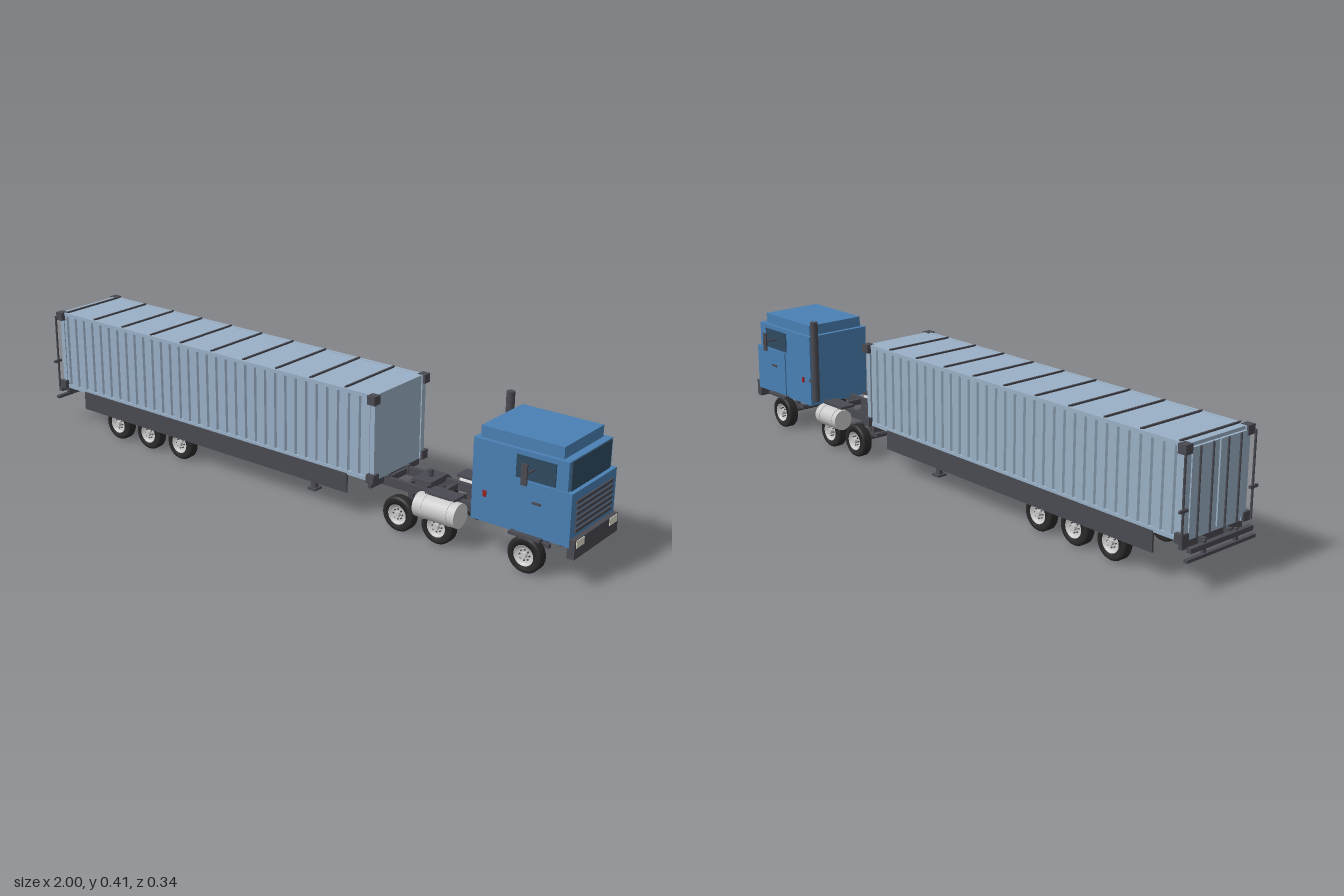
import * as THREE from 'three';

const mat = (color, extra = {}) => new THREE.MeshStandardMaterial({ color, ...extra });
const M = {
  dark: mat(0x4a4a52), tyre: mat(0x2a2a2a), metal: mat(0xcccccc), cab: mat(0x4a80b4),
  cargo: mat(0x9ab0c6), glass: mat(0x2f4a60), lamp: mat(0xe2decd), red: mat(0xa02020),
};

export function createModel() {
  const root = new THREE.Group();
  const group = (name, parent = root) => {
    const g = new THREE.Group();
    g.name = name;
    parent.add(g);
    return g;
  };
  const add = (parent, name, geo, material) => {
    const m = new THREE.Mesh(geo, material);
    m.name = name;
    parent.add(m);
    return m;
  };
  // Box given by its limits on each axis
  const box = (parent, name, material, x0, x1, y0, y1, z0, z1) => {
    const m = add(parent, name, new THREE.BoxGeometry(x1 - x0, y1 - y0, Math.abs(z1 - z0)), material);
    m.position.set((x0 + x1) / 2, (y0 + y1) / 2, (z0 + z1) / 2);
    return m;
  };
  // Cylinder along a chosen axis
  const rod = (parent, name, material, r, len, axis, x, y, z, sides = 16) => {
    const m = add(parent, name, new THREE.CylinderGeometry(r, r, len, sides), material);
    if (axis === 'x') m.rotation.z = Math.PI / 2;
    if (axis === 'z') m.rotation.x = Math.PI / 2;
    m.position.set(x, y, z);
    return m;
  };
  const SIDES = [1, -1];

  // Container: corrugated walls in one extruded outline
  const container = group('container');
  const X0 = -0.968, X1 = 0.344, ribs = 33, pitch = (X1 - X0) / ribs;
  const edge = [];
  for (let i = 0; i < ribs; i++) {
    const x = X0 + i * pitch;
    edge.push([x, 0.122], [x + pitch * 0.6, 0.122], [x + pitch * 0.7, 0.116], [x + pitch * 0.9, 0.116]);
  }
  edge.push([X1, 0.122]);
  const outline = new THREE.Shape();
  edge.forEach(([x, z], i) => (i ? outline.lineTo(x, -z) : outline.moveTo(x, -z)));
  [...edge].reverse().forEach(([x, z]) => outline.lineTo(x, z));
  const walls = new THREE.ExtrudeGeometry(outline, { depth: 0.264, bevelEnabled: false });
  walls.rotateX(-Math.PI / 2);
  add(container, 'containerWalls', walls, M.cargo).position.y = 0.132;
  for (const s of SIDES) {
    box(container, 'topSideRail', M.cargo, -0.97, 0.347, 0.386, 0.397, s * 0.114, s * 0.125);
    box(container, 'bottomSideRail', M.cargo, -0.97, 0.347, 0.131, 0.143, s * 0.114, s * 0.125);
    for (const [x0, x1] of [[-0.972, -0.955], [0.332, 0.348]])
      box(container, 'cornerPost', M.cargo, x0, x1, 0.132, 0.397, s * 0.108, s * 0.125);
    for (const x of [-0.978, 0.328])
      for (const y of [0.13, 0.371])
        box(container, 'cornerCasting', M.dark, x, x + 0.027, y, y + 0.027, s * 0.11, s * 0.137);
  }
  for (let i = 0; i < 11; i++) {
    const x = -0.942 + i * 0.131;
    if (x < 0.34) box(container, 'roofRib', M.dark, x - 0.003, x + 0.003, 0.394, 0.401, -0.12, 0.12);
  }
  // Rear doors with lock rods
  for (const s of SIDES) {
    box(container, 'rearDoor', M.cargo, -0.976, -0.966, 0.145, 0.386, s * 0.003, s * 0.108);
    for (const z of [0.03, 0.08])
      rod(container, 'doorLockRod', M.dark, 0.003, 0.25, 'y', -0.979, 0.262, s * z, 8);
    rod(container, 'outerLockRod', M.dark, 0.0035, 0.25, 'y', -0.979, 0.258, s * 0.139, 8);
    box(container, 'lockHandle', M.dark, -0.985, -0.977, 0.221, 0.229, s * 0.125, s * 0.155);
  }

  // Trailer chassis
  const trailer = group('trailer');
  for (const s of SIDES) {
    box(trailer, 'trailerRail', M.dark, -0.985, 0.35, 0.1, 0.13, s * 0.044, s * 0.058);
    box(trailer, 'sideSkirt', M.dark, -0.87, 0.25, 0.073, 0.135, s * 0.12, s * 0.126);
    box(trailer, 'landingLeg', M.dark, 0.066, 0.084, 0.022, 0.1, s * 0.05, s * 0.064);
    box(trailer, 'landingFoot', M.dark, 0.06, 0.09, 0.015, 0.022, s * 0.04, s * 0.074);
    box(trailer, 'underrunPost', M.dark, -0.995, -0.985, 0.09, 0.13, s * 0.06, s * 0.07);
    box(trailer, 'tailLamp', M.red, -0.998, -0.99, 0.112, 0.122, s * 0.1, s * 0.12);
  }
  for (let i = 0; i < 11; i++) {
    const x = -0.96 + i * 0.129;
    box(trailer, 'trailerCrossMember', M.dark, x - 0.006, x + 0.006, 0.108, 0.13, -0.121, 0.121);
  }
  box(trailer, 'landingBrace', M.dark, 0.07, 0.08, 0.082, 0.09, -0.06, 0.06);
  box(trailer, 'rearBeam', M.dark, -1, -0.985, 0.11, 0.124, -0.125, 0.125);
  box(trailer, 'underrunBar', M.dark, -1, -0.988, 0.087, 0.096, -0.138, 0.138);

  // Tractor chassis and coupling plate
  const tractor = group('tractor');
  for (const s of SIDES)
    box(tractor, 'tractorRail', M.dark, 0.33, 0.98, 0.1, 0.126, s * 0.045, s * 0.058);
  for (const x of [0.34, 0.41, 0.52, 0.62, 0.75, 0.9])
    box(tractor, 'tractorCrossMember', M.dark, x - 0.006, x + 0.006, 0.104, 0.122, -0.05, 0.05);
  box(tractor, 'couplingBase', M.dark, 0.44, 0.485, 0.118, 0.133, -0.05, 0.05);
  box(tractor, 'couplingPlate', M.dark, 0.428, 0.492, 0.133, 0.143, -0.045, 0.045);
  rod(tractor, 'kingPin', M.dark, 0.009, 0.022, 'y', 0.46, 0.152, 0);

  // Fuel tanks with straps, exhaust stack
  for (const s of SIDES) {
    const len = s > 0 ? 0.14 : 0.11;
    const r = s > 0 ? 0.037 : 0.034;
    rod(tractor, 'fuelTank', M.metal, r, len, 'x', 0.565, 0.102, s * 0.106, 24);
    for (const d of [-0.3, 0.3])
      rod(tractor, 'tankStrap', M.metal, r + 0.0015, 0.006, 'x', 0.565 + d * len, 0.102, s * 0.106, 24);
    box(tractor, 'tankBracket', M.dark, 0.515, 0.615, 0.137, 0.145, s * 0.055, s * 0.108);
  }
  rod(tractor, 'exhaustStack', M.dark, 0.0125, 0.272, 'y', 0.643, 0.276, -0.118, 20);
  box(tractor, 'exhaustBracket', M.dark, 0.64, 0.68, 0.2, 0.208, -0.12, -0.108);

  // Cab
  const cab = group('cab');
  box(cab, 'cabBody', M.cab, 0.675, 0.968, 0.115, 0.354, -0.117, 0.117);
  box(cab, 'cabRoof', M.cab, 0.69, 0.945, 0.354, 0.388, -0.105, 0.105);
  box(cab, 'cabNose', M.cab, 0.968, 0.984, 0.115, 0.27, -0.119, 0.119);
  box(cab, 'windscreen', M.glass, 0.966, 0.972, 0.259, 0.353, -0.105, 0.105);
  for (let i = 0; i < 6; i++) {
    const y = 0.158 + i * 0.0165;
    box(cab, 'grilleSlat', M.dark, 0.982, 0.989, y - 0.0045, y + 0.0045, -0.098, 0.098);
  }
  box(cab, 'frontBumper', M.dark, 0.978, 1, 0.085, 0.14, -0.119, 0.119);
  for (const s of SIDES) {
    box(cab, 'headlight', M.lamp, 0.99, 1.002, 0.117, 0.139, s * 0.07, s * 0.112);
    box(cab, 'doorPanel', M.cab, 0.82, 0.984, 0.118, 0.27, s * 0.116, s * 0.121);
    box(cab, 'sideWindow', M.glass, 0.812, 0.932, 0.275, 0.34, s * 0.115, s * 0.12);
    box(cab, 'doorHandle', M.dark, 0.868, 0.894, 0.212, 0.218, s * 0.12, s * 0.125);
    box(cab, 'markerLamp', M.red, 0.712, 0.722, 0.19, 0.208, s * 0.116, s * 0.12);
    box(cab, 'frontMudguard', M.dark, 0.806, 0.904, 0.112, 0.12, s * 0.085, s * 0.137);
    rod(cab, 'mirrorArm', M.dark, 0.003, 0.05, 'z', 0.868, 0.31, s * 0.143, 8);
    box(cab, 'mirror', M.dark, 0.856, 0.874, 0.28, 0.341, s * 0.165, s * 0.17);
  }

  // Wheels: lathed tyre, dished rim, hub with nuts
  const tyreGeo = new THREE.LatheGeometry([
    [0.029, -0.016], [0.046, -0.017], [0.051, -0.015], [0.0535, -0.011],
    [0.0535, 0.011], [0.051, 0.015], [0.046, 0.017], [0.029, 0.016], [0.029, -0.016],
  ].map(([r, y]) => new THREE.Vector2(r, y)), 28).rotateX(Math.PI / 2);
  const rimGeo = new THREE.LatheGeometry([
    [0, 0.01], [0.018, 0.01], [0.025, 0.013], [0.029, 0.0175], [0.031, 0.0175],
  ].map(([r, y]) => new THREE.Vector2(r, y)), 28).rotateX(Math.PI / 2);
  const rimMat = mat(0xcccccc, { side: THREE.DoubleSide });
  for (const x of [-0.718, -0.577, -0.435, 0.43, 0.565, 0.85]) {
    const axle = group('axle');
    axle.position.set(x, 0.0535, 0);
    rod(axle, 'axleBeam', M.dark, 0.009, 0.19, 'z', 0, 0, 0);
    for (const s of SIDES) {
      const wheel = group('wheel', axle);
      wheel.position.z = s * 0.104;
      if (s < 0) wheel.rotation.y = Math.PI;
      add(wheel, 'tyre', tyreGeo, M.tyre);
      add(wheel, 'rim', rimGeo, rimMat);
      rod(wheel, 'innerDisc', M.dark, 0.029, 0.004, 'z', 0, 0, -0.01, 24);
      rod(wheel, 'hub', M.metal, 0.009, 0.012, 'z', 0, 0, 0.015);
      for (let i = 0; i < 8; i++) {
        const a = (i * Math.PI) / 4;
        rod(wheel, 'wheelNut', M.dark, 0.0022, 0.005, 'z', 0.0155 * Math.cos(a), 0.0155 * Math.sin(a), 0.012, 6);
      }
      box(axle, 'suspensionSpring', M.dark, -0.04, 0.04, 0.008, 0.02, s * 0.045, s * 0.058);
      box(axle, 'springHanger', M.dark, -0.008, 0.008, 0, 0.05, s * 0.045, s * 0.058);
    }
  }
  return root;
}
